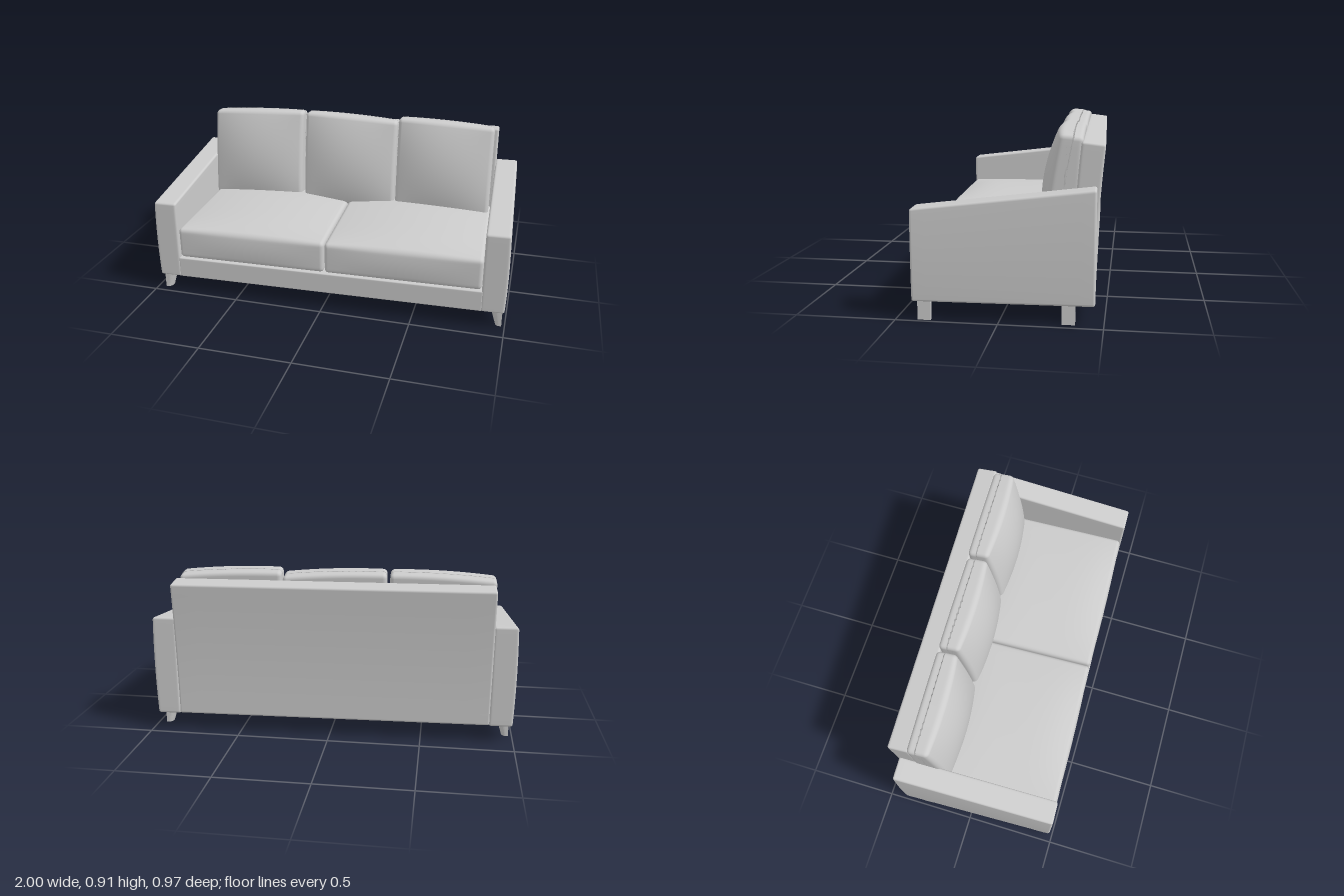
import * as THREE from 'three';
import { mergeVertices } from 'three/addons/utils/BufferGeometryUtils.js';

const material = new THREE.MeshStandardMaterial({ color: 0xcccccc });

// Softly rounded box between two corners; shape(p, u, v, w) may then bend it (u, v, w run -1..1).
function softBox(name, min, max, r, shape) {
  const half = max.map((m, i) => (m - min[i]) / 2);
  const mid = max.map((m, i) => (m + min[i]) / 2);
  let geo = new THREE.BoxGeometry(2, 2, 2, 20, 20, 20);
  geo.deleteAttribute('normal');
  geo.deleteAttribute('uv');
  geo = mergeVertices(geo);
  const pos = geo.attributes.position;
  const p = new THREE.Vector3(), core = new THREE.Vector3();
  // the outer grid rows fall in the rounded edge, the rest on the flat
  const spread = (t, h) => {
    const a = Math.abs(t), k = 0.7;
    return Math.sign(t) * (a < k ? (a / k) * (h - r) : h - r + ((a - k) / (1 - k)) * r);
  };
  for (let i = 0; i < pos.count; i++) {
    p.set(spread(pos.getX(i), half[0]), spread(pos.getY(i), half[1]), spread(pos.getZ(i), half[2]));
    core.set(...p.toArray().map((t, k) => THREE.MathUtils.clamp(t, r - half[k], half[k] - r)));
    p.sub(core).setLength(r).add(core);
    const [u, v, w] = p.toArray().map((t, k) => t / half[k]);
    p.x += mid[0]; p.y += mid[1]; p.z += mid[2];
    if (shape) shape(p, u, v, w);
    pos.setXYZ(i, p.x, p.y, p.z);
  }
  geo.computeVertexNormals();
  const mesh = new THREE.Mesh(geo, material);
  mesh.name = name;
  return mesh;
}

// Leg with a flat outer side and rounded inner side, tapering towards the floor
function leg(side, z) {
  const s = new THREE.Shape();
  s.moveTo(0, -0.032);
  s.lineTo(0.025, -0.032);
  s.bezierCurveTo(0.085, -0.032, 0.085, 0.032, 0.025, 0.032);
  s.lineTo(0, 0.032);
  s.closePath();
  const geo = new THREE.ExtrudeGeometry(s, { depth: 0.11, bevelEnabled: false, curveSegments: 16 });
  const pos = geo.attributes.position;
  for (let i = 0; i < pos.count; i++) {
    const taper = 0.5 + 0.5 * (pos.getZ(i) / 0.11);
    pos.setX(i, pos.getX(i) * taper);
  }
  geo.rotateX(-Math.PI / 2);
  if (side > 0) geo.rotateY(Math.PI);
  geo.computeVertexNormals();
  const mesh = new THREE.Mesh(geo, material);
  mesh.name = 'leg';
  mesh.position.set(side * 0.97, 0, z);
  return mesh;
}

export function createModel() {
  const sofa = new THREE.Group();
  sofa.name = 'sofa';

  // Arms: the top slopes up towards the back, outer face slightly full
  for (const side of [-1, 1]) {
    const x = side * 0.917;
    sofa.add(softBox(side > 0 ? 'leftArm' : 'rightArm',
      [x - 0.063, 0.093, -0.427], [x + 0.063, 0.597, 0.452], 0.012, (p, u, v, w) => {
        p.y -= 0.0525 * w * (v + 1) / 2;
        if (u * side > 0) p.x += side * 0.006 * (1 - v * v) * u * side;
      }));
    for (const z of [0.392, -0.302]) sofa.add(leg(side, z));
  }

  // Base and front rail
  sofa.add(softBox('base', [-0.857, 0.094, -0.41], [0.857, 0.21, 0.42], 0.008));
  sofa.add(softBox('frontRail', [-0.86, 0.094, 0.38], [0.86, 0.212, 0.451], 0.006));

  // Backrest: upright low down, leaning back above the arms
  sofa.add(softBox('backrest', [-0.858, 0.095, -0.425], [0.858, 0.85, -0.31], 0.012, (p, u, v, w) => {
    const t = (v + 1) / 2;
    p.z -= 0.04 * t * t;
    p.y += 0.007 * w * t;
  }));

  // Two crowned seat cushions
  for (const [a, b] of [[-0.853, -0.009], [-0.004, 0.853]]) {
    sofa.add(softBox('seatCushion', [a, 0.214, -0.3], [b, 0.392, 0.445], 0.022, (p, u, v, w) => {
      const crown = (1 - u * u) * (1 - w ** 4);
      if (v > 0) p.y += 0.035 * crown * v;
      if (w > 0) p.z += 0.008 * (1 - u * u) * (1 - v * v) * w;
    }));
  }

  // Three plump back cushions, tops dropping to one side
  for (const [a, b, drop] of [[-0.863, -0.304, -1], [-0.286, 0.271, 1], [0.279, 0.836, 1]]) {
    sofa.add(softBox('backCushion', [a, 0.37, -0.33], [b, 0.893, -0.17], 0.022, (p, u, v, w) => {
      const t = (v + 1) / 2;
      p.z += w > 0 ? -0.075 * t ** 1.4 : -0.03 * t;
      if (w > 0) p.z += 0.05 * (1 - u * u) * (1 - 0.75 * v * v) * w;
      p.y += t * (0.008 * (1 - u * u) - 0.012 * u * drop + 0.008 * w);
    }));
  }

  // The sofa stands turned very slightly
  sofa.rotation.y = 0.032;
  const model = new THREE.Group();
  model.name = 'model';
  model.add(sofa);
  return model;
}
